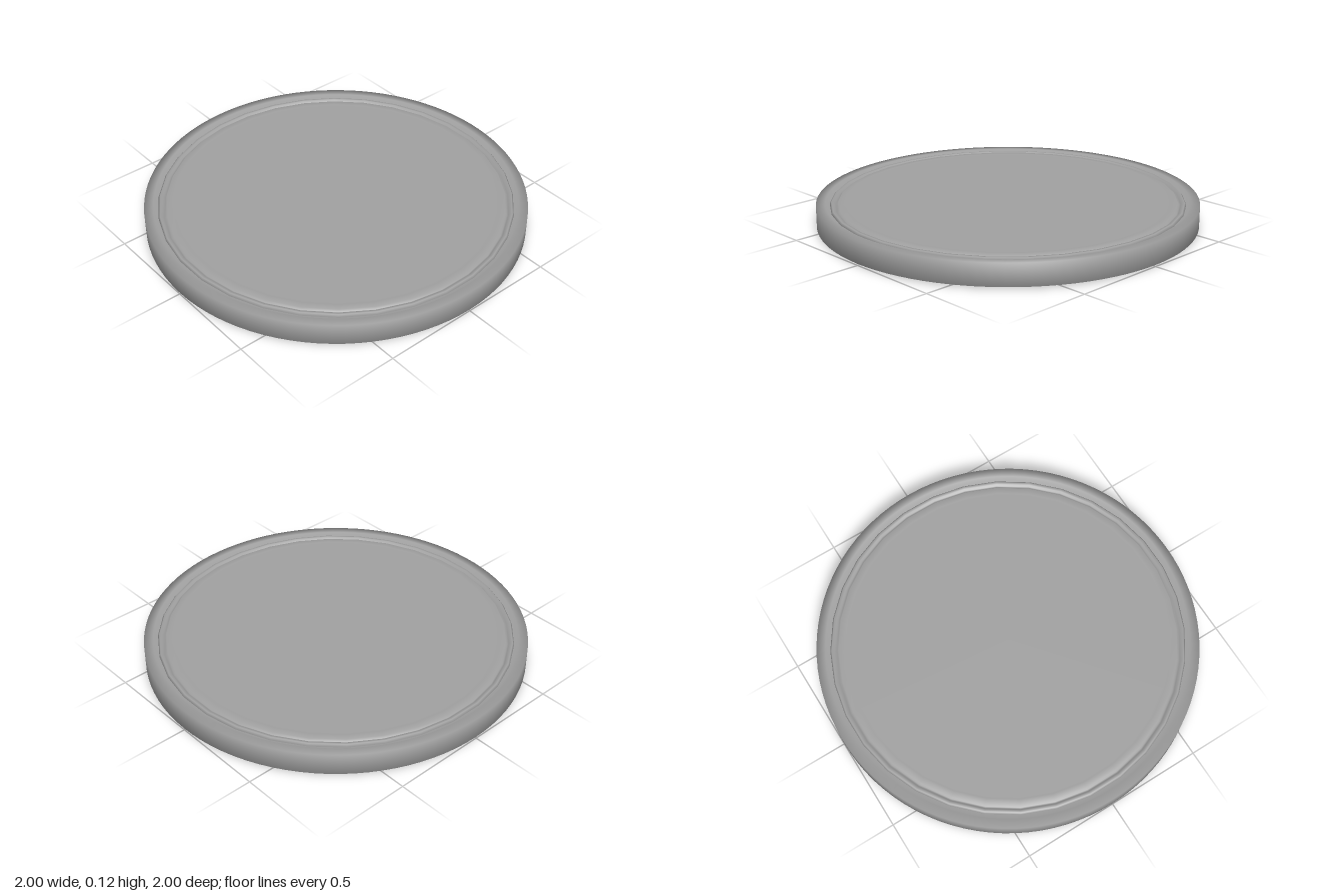
import * as THREE from 'three';

const grey = new THREE.MeshStandardMaterial({ color: 0xa0a0a0 });
grey.name = 'plain grey';

// Revolves a profile listed from the underside, around the outside, to the top
function turned(name, profile, segments, phase = 0) {
  const points = profile.map(([r, y]) => new THREE.Vector2(r, y));
  const mesh = new THREE.Mesh(new THREE.LatheGeometry(points, segments, phase), grey);
  mesh.name = name;
  return mesh;
}

export function createModel() {
  const group = new THREE.Group();
  group.name = 'disc';

  // Outer band with soft-shaded corners and a step down on its inner side
  group.add(turned('rim', [
    [0.88, 0.02], [0.935, 0.02], [0.945, 0.008], [1, 0.008],
    [1, 0.125], [0.953, 0.125], [0.943, 0.108], [0.88, 0.108],
  ], 96));

  // Coarser inner disc: stepped border, narrow groove and flat face on both sides
  group.add(turned('panel', [
    [0, 0.006], [0.84, 0.006], [0.852, 0.004], [0.885, 0.004], [0.892, 0.014],
    [0.9, 0.014], [0.905, 0], [0.922, 0], [0.93, 0.012],
    [0.93, 0.112], [0.922, 0.121], [0.908, 0.121], [0.902, 0.11],
    [0.893, 0.11], [0.886, 0.121], [0.852, 0.121], [0.84, 0.118], [0, 0.118],
  ], 32, Math.PI / 32));

  return group;
}
